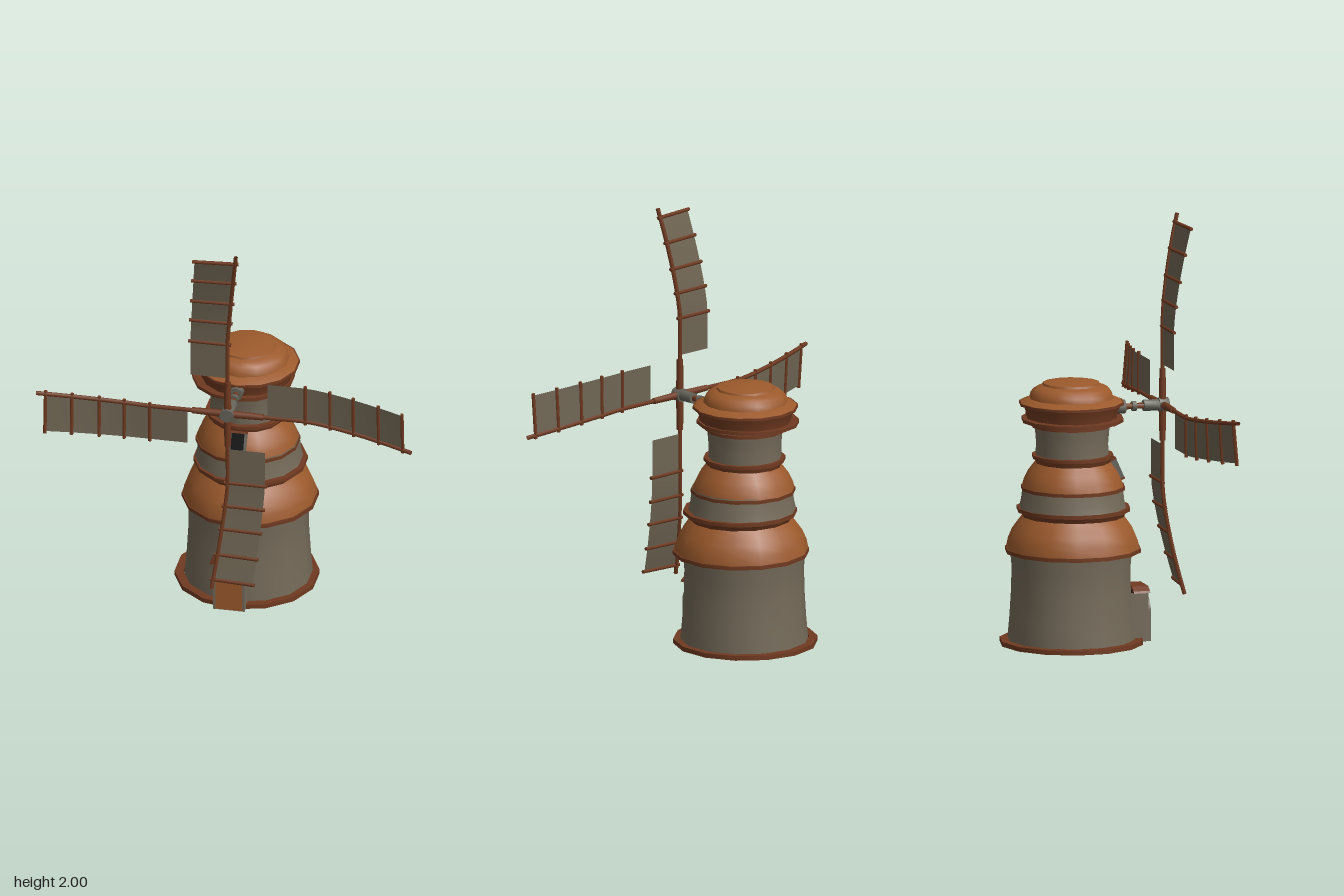
import * as THREE from 'three';
import { toCreasedNormals } from 'three/addons/utils/BufferGeometryUtils.js';

const mat = (name, color, side = THREE.FrontSide) => {
  const m = new THREE.MeshStandardMaterial({ color, side });
  m.name = name;
  return m;
};

export function createModel() {
  const stone = mat('stone', 0x746a59, THREE.DoubleSide);
  const roof = mat('roofTile', 0x9c5a2c, THREE.DoubleSide);
  const wood = mat('darkWood', 0x703a20, THREE.DoubleSide);
  const canvas = mat('sailCloth', 0x6e6452, THREE.DoubleSide);
  const iron = mat('iron', 0x66645a);
  const dark = mat('darkOpening', 0x060606);

  const root = new THREE.Group();
  root.name = 'windmill';
  const add = (parent, name, geo, material, x = 0, y = 0, z = 0) => {
    const m = new THREE.Mesh(geo, material);
    m.name = name;
    m.position.set(x, y, z);
    parent.add(m);
    return m;
  };
  const box = (w, h, d) => new THREE.BoxGeometry(w, h, d);
  const extrude = (shape, depth) =>
    new THREE.ExtrudeGeometry(shape, { depth, bevelEnabled: false, curveSegments: 8 });

  // Tower: fourteen-sided turned sections around a slightly wandering axis
  const tower = new THREE.Group();
  tower.name = 'tower';
  tower.position.z = -0.1;
  root.add(tower);
  const turned = (name, profile, material, x = 0, z = 0) => {
    const pts = profile.map(([r, y]) => new THREE.Vector2(r, y));
    return add(tower, name, toCreasedNormals(new THREE.LatheGeometry(pts, 14), 0.6), material, x, 0, z);
  };
  const ring = (name, rOuter, y, h, x = 0, z = 0) => {
    const i = rOuter - 0.04;
    return turned(name, [[i, y], [rOuter, y], [rOuter, y + h], [i, y + h], [i, y]], wood, x, z);
  };

  ring('baseRing', 0.338, 0, 0.022);
  turned('lowerWall', [[0.3, 0.01], [0.29, 0.12], [0.282, 0.25], [0.28, 0.36], [0.288, 0.45]], stone, 0.008, 0);
  ring('lowerEave', 0.32, 0.432, 0.018, 0.018, 0.013);
  turned('lowerRoof', [[0.315, 0.445], [0.306, 0.49], [0.287, 0.535], [0.258, 0.575], [0.235, 0.605]], roof, 0.016, 0.012);
  turned('middleCornice', [[0.236, 0.59], [0.243, 0.61], [0.258, 0.63]], wood, 0.018, 0.014);
  ring('middleLedge', 0.267, 0.625, 0.018, 0.02, 0.016);
  turned('middleWall', [[0.255, 0.63], [0.243, 0.68], [0.235, 0.75]], stone, 0.012, 0.01);
  ring('middleEave', 0.245, 0.728, 0.016, 0.006, 0.01);
  turned('middleRoof', [[0.24, 0.74], [0.23, 0.775], [0.21, 0.815], [0.187, 0.845], [0.172, 0.865]], roof, 0.005, 0.008);
  turned('upperCornice', [[0.174, 0.85], [0.178, 0.865], [0.186, 0.885]], wood, 0.002, 0.007);
  ring('upperLedge', 0.192, 0.88, 0.016, 0, 0.006);
  turned('upperWall', [[0.172, 0.89], [0.17, 0.95], [0.174, 1.0], [0.18, 1.05]], stone, 0, 0.003);
  ring('neckRing', 0.188, 1.028, 0.016);

  // Cap: lower lip, dark band and stepped dome
  ring('capLip', 0.24, 1.056, 0.016).rotation.z = 0.015;
  turned('capBand', [[0.17, 1.045], [0.212, 1.06], [0.218, 1.1], [0.236, 1.14]], wood);
  ring('capEave', 0.247, 1.132, 0.012);
  turned('capRoof', [[0.243, 1.143], [0.22, 1.155], [0.198, 1.163], [0.193, 1.185], [0.178, 1.205],
    [0.155, 1.218], [0.137, 1.224], [0.133, 1.234], [0, 1.258]], roof);

  // Doorway: stone porch, arched surround, door leaf, hood and dark recess
  const doorway = new THREE.Group();
  doorway.name = 'doorway';
  doorway.position.x = -0.012;
  root.add(doorway);
  const arch = (r) => {
    const s = new THREE.Shape();
    s.moveTo(-r, 0);
    s.lineTo(r, 0);
    s.lineTo(r, 0.14);
    s.absarc(0, 0.14, r, 0, Math.PI, false);
    s.closePath();
    return s;
  };
  add(doorway, 'porch', box(0.15, 0.231, 0.1), stone, 0, 0.1195, 0.2);
  const surround = arch(0.075);
  surround.holes.push(arch(0.064));
  add(doorway, 'doorSurround', extrude(surround, 0.012), stone, 0, 0.004, 0.249);
  add(doorway, 'doorLeaf', extrude(arch(0.065), 0.006), roof, 0, 0.004, 0.25);
  const hood = new THREE.Shape([[-0.095, 0.235], [0.095, 0.235], [0.09, 0.245], [0.06, 0.264], [-0.06, 0.264], [-0.09, 0.245]]
    .map(([x, y]) => new THREE.Vector2(x, y)));
  add(doorway, 'hood', extrude(hood, 0.08), wood, 0, 0, 0.172);
  add(doorway, 'recess', box(0.146, 0.245, 0.12), dark, 0, 0.1245, 0.178);

  // Window lying on the slope of the middle roof
  const win = new THREE.Group();
  win.name = 'window';
  win.position.set(0, 0.818, 0.112);
  win.rotation.x = -0.42;
  root.add(win);
  add(win, 'windowOpening', box(0.066, 0.095, 0.02), dark);
  for (const s of [-1, 1]) {
    add(win, 'windowJamb', box(0.01, 0.1, 0.03), iron, s * 0.036, 0, 0);
    add(win, 'windowBar', box(0.084, 0.01, 0.032), wood, 0, s * 0.052, 0);
  }

  // Axle: stepped shaft from the cap to the hub
  const rotor = new THREE.Group();
  rotor.name = 'rotor';
  rotor.position.y = 1.105;
  root.add(rotor);
  const shaft = (name, r, z0, z1, material) => {
    const g = new THREE.CylinderGeometry(r, r, z1 - z0, 8);
    g.rotateX(Math.PI / 2);
    add(rotor, name, toCreasedNormals(g, 0.9), material, 0, 0, (z0 + z1) / 2);
  };
  shaft('axleMount', 0.033, 0.08, 0.16, iron);
  shaft('axle', 0.014, 0.1, 0.3, wood);
  shaft('axleCollar', 0.024, 0.195, 0.215, iron);
  shaft('axleSleeve', 0.027, 0.25, 0.335, iron);
  shaft('hub', 0.034, 0.325, 0.372, iron);

  // Blades: the spar sweeps forward and sideways, and the cloth twists towards its tip
  const bend = (r) => {
    const u = THREE.MathUtils.clamp((r - 0.38) / 0.515, 0, 1);
    return new THREE.Vector3(0.058 * u ** 1.2, r, 0.345 + 0.09 * u ** 1.5);
  };
  const outerEdge = (r) => {
    const b = bend(r);
    const u = THREE.MathUtils.clamp((r - 0.38) / 0.515, 0, 1);
    return new THREE.Vector3(-0.177 + b.x * 0.75, r, b.z + 0.018 * u);
  };
  const makeBlade = () => {
    const blade = new THREE.Group();
    blade.name = 'blade';
    const path = new THREE.CatmullRomCurve3([0, 0.2, 0.38, 0.48, 0.58, 0.68, 0.78, 0.893].map(bend));
    add(blade, 'spar', new THREE.TubeGeometry(path, 18, 0.01, 6), wood);
    add(blade, 'sparSocket', new THREE.CylinderGeometry(0.015, 0.018, 0.15, 8), wood, 0, 0.095, 0.345);

    // Cloth between the spar and its outer edge
    const cloth = new THREE.PlaneGeometry(1, 0.662, 1, 12);
    const p = cloth.attributes.position;
    for (let i = 0; i < p.count; i++) {
      const r = p.getY(i) + 0.521;
      const v = p.getX(i) > 0 ? bend(r) : outerEdge(r);
      p.setXYZ(i, v.x, v.y, v.z);
    }
    cloth.computeVertexNormals();
    add(blade, 'sail', cloth, canvas);

    // Battens run slightly past both edges of the cloth
    for (const r of [0.37, 0.49, 0.605, 0.73, 0.85]) {
      const a = outerEdge(r);
      const b = bend(r);
      const dir = b.clone().sub(a).normalize();
      const line = new THREE.LineCurve3(a.addScaledVector(dir, -0.01), b.addScaledVector(dir, 0.016));
      const batten = new THREE.CylinderGeometry(0.0085, 0.0085, line.getLength(), 6);
      const mid = line.getPoint(0.5);
      add(blade, 'batten', batten, wood, mid.x, mid.y, mid.z)
        .quaternion.setFromUnitVectors(new THREE.Vector3(0, 1, 0), dir);
    }
    return blade;
  };
  for (let i = 0; i < 4; i++) {
    const blade = makeBlade();
    blade.rotation.z = (i * Math.PI) / 2;
    rotor.add(blade);
  }
  return root;
}
